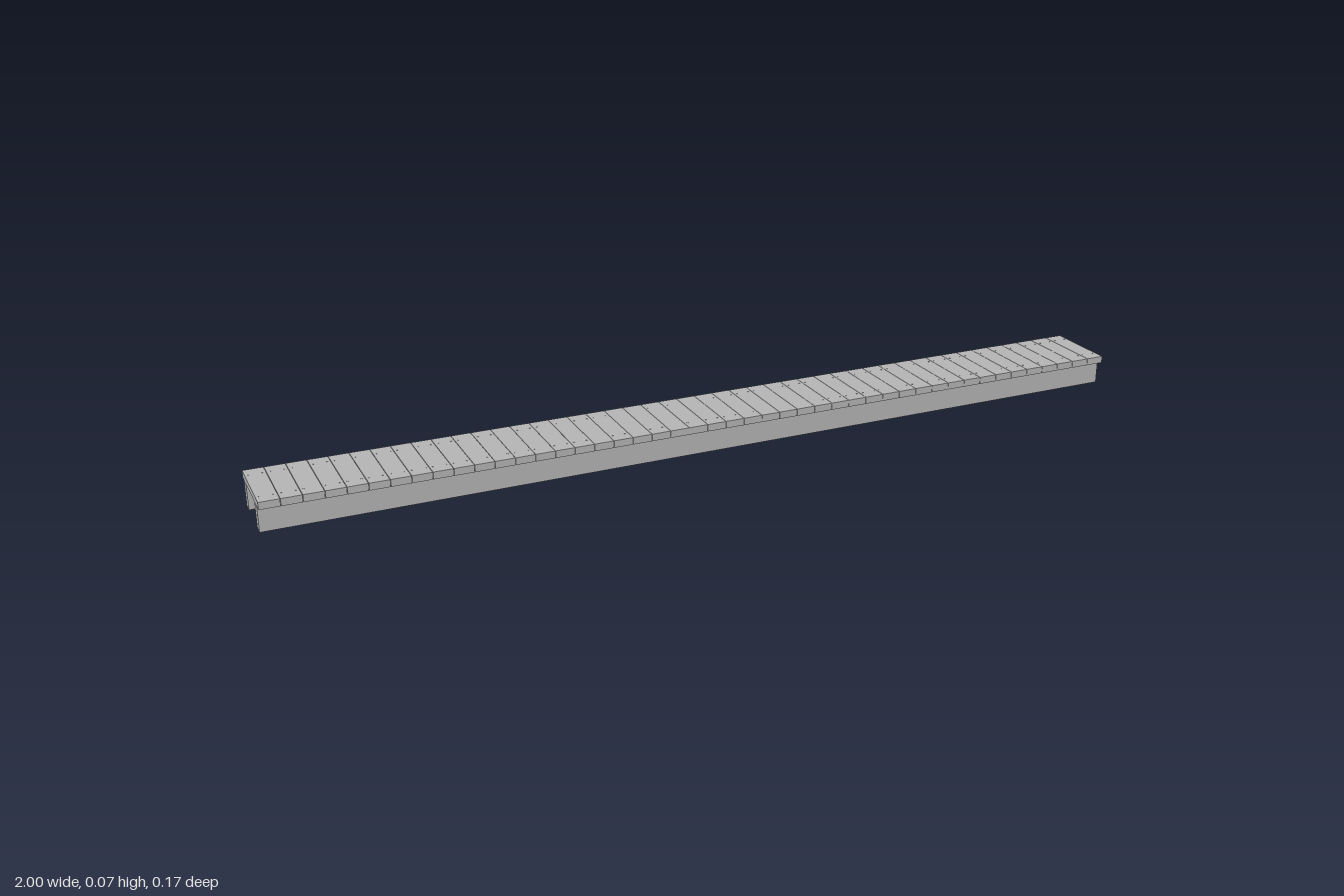
import * as THREE from 'three';

export function createModel() {
  const model = new THREE.Group();
  model.name = 'plankWalkway';
  const grey = new THREE.MeshStandardMaterial({ color: 0xb3b3b3 });
  grey.name = 'plain grey';

  const add = (geometry, name, x, y, z) => {
    const mesh = new THREE.Mesh(geometry, grey);
    mesh.name = name;
    mesh.position.set(x, y, z);
    model.add(mesh);
  };

  // Two long bearers under the deck
  const beam = new THREE.BoxGeometry(2, 0.055, 0.024);
  add(beam, 'frontBeam', 0, 0.0275, 0.057);
  add(beam, 'backBeam', 0, 0.0275, -0.057);

  // Cross planks with hairline gaps, nailed down at both ends
  const count = 46, pitch = 2 / count, gap = 0.001;
  const plank = new THREE.BoxGeometry(pitch - gap, 0.016, 0.17);
  const nail = new THREE.CylinderGeometry(0.0018, 0.0018, 0.001, 8);
  for (let i = 0; i < count; i++) {
    const x = -1 + (i + 0.5) * pitch;
    add(plank, 'plank', x, 0.063, 0);
    for (const z of [-0.057, 0.057]) {
      for (const dx of [-0.014, 0.014]) add(nail, 'nail', x + dx, 0.071, z);
    }
  }
  return model;
}
